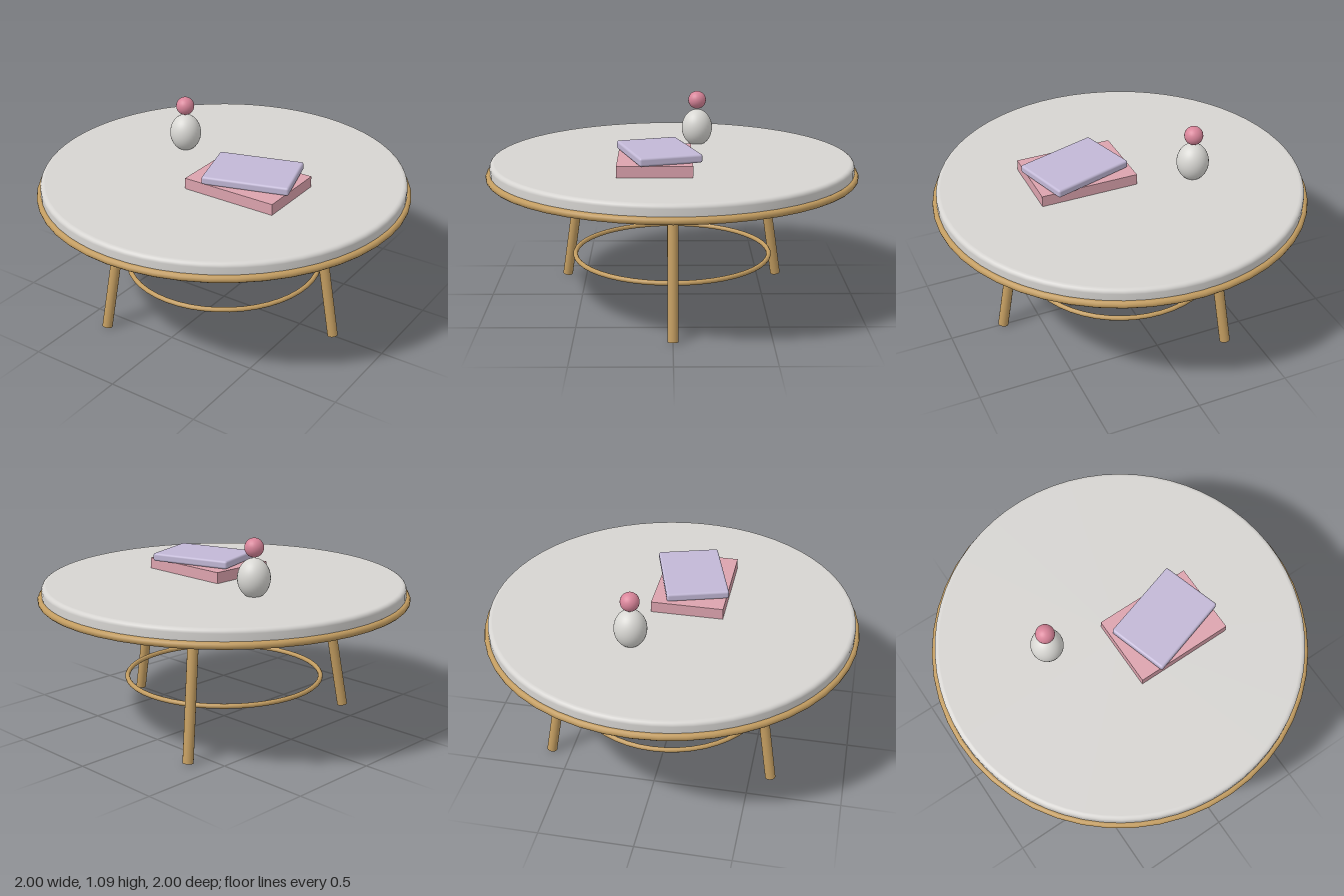
import * as THREE from 'three';
import { RoundedBoxGeometry } from 'three/addons/geometries/RoundedBoxGeometry.js';

const material = (name, color) => {
  const m = new THREE.MeshStandardMaterial({ color });
  m.name = name;
  return m;
};

export function createModel() {
  const stone = material('pale stone', 0xd6d4d1);
  const brass = material('brass', 0xc29c60);
  const ceramic = material('ceramic', 0xd8d7d3);
  const rose = material('rose', 0xd9859a);
  const pink = material('pink cover', 0xdca3ae);
  const lavender = material('lavender cover', 0xc2b8d6);

  const model = new THREE.Group();
  model.name = 'roundTable';
  const add = (name, geometry, mat, x = 0, y = 0, z = 0) => {
    const mesh = new THREE.Mesh(geometry, mat);
    mesh.name = name;
    mesh.position.set(x, y, z);
    model.add(mesh);
    return mesh;
  };

  // Tabletop: a disc with a rounded upper edge, turned from a profile
  const radius = 0.976, bottom = 0.705, top = 0.788, round = 0.022;
  // Doubled points keep the flat underside crisp
  const profile = [
    new THREE.Vector2(0, bottom),
    new THREE.Vector2(radius - 0.002, bottom),
    new THREE.Vector2(radius, bottom + 0.002),
  ];
  for (let i = 0; i <= 5; i++) {
    const a = (i / 5) * Math.PI / 2;
    profile.push(new THREE.Vector2(
      radius - round + round * Math.cos(a),
      top - round + round * Math.sin(a)));
  }
  profile.push(new THREE.Vector2(radius - round - 0.002, top), new THREE.Vector2(0, top));
  add('tabletop', new THREE.LatheGeometry(profile, 64), stone);

  // Brass rim and lower ring
  const ring = (name, major, tube, y) => {
    const geometry = new THREE.TorusGeometry(major, tube, 12, 48).rotateX(Math.PI / 2);
    add(name, geometry, brass, 0, y, 0);
  };
  ring('rim', 0.981, 0.019, 0.711);
  ring('lowerRing', 0.532, 0.013, 0.252);

  // Three splayed legs, one on +x and two at the other thirds
  const up = new THREE.Vector3(0, 1, 0);
  for (let i = 0; i < 3; i++) {
    const a = (i / 3) * Math.PI * 2;
    const foot = new THREE.Vector3(0.705 * Math.cos(a), 0.005, 0.705 * Math.sin(a));
    const head = new THREE.Vector3(0.579 * Math.cos(a), 0.715, 0.579 * Math.sin(a));
    const axis = head.clone().sub(foot);
    const leg = add('leg' + (i + 1), new THREE.CylinderGeometry(0.028, 0.028, axis.length(), 16), brass);
    leg.position.copy(foot).add(head).multiplyScalar(0.5);
    leg.quaternion.setFromUnitVectors(up, axis.normalize());
  }

  // Egg-shaped vase with a ball on top
  const vase = new THREE.SphereGeometry(1, 32, 20).scale(0.086, 0.104, 0.086);
  add('vase', vase, ceramic, -0.357, 0.878, -0.144);
  add('vaseBall', new THREE.SphereGeometry(0.05, 24, 16), rose, -0.357, 1.036, -0.144);

  // Two stacked books, the upper one turned
  add('lowerBook', new THREE.BoxGeometry(0.53, 0.06, 0.385), pink, 0.213, 0.818, 0.09);
  const upper = add('upperBook', new RoundedBoxGeometry(0.46, 0.044, 0.332, 3, 0.012),
    lavender, 0.231, 0.87, 0.072);
  upper.rotation.y = 0.295;

  return model;
}
